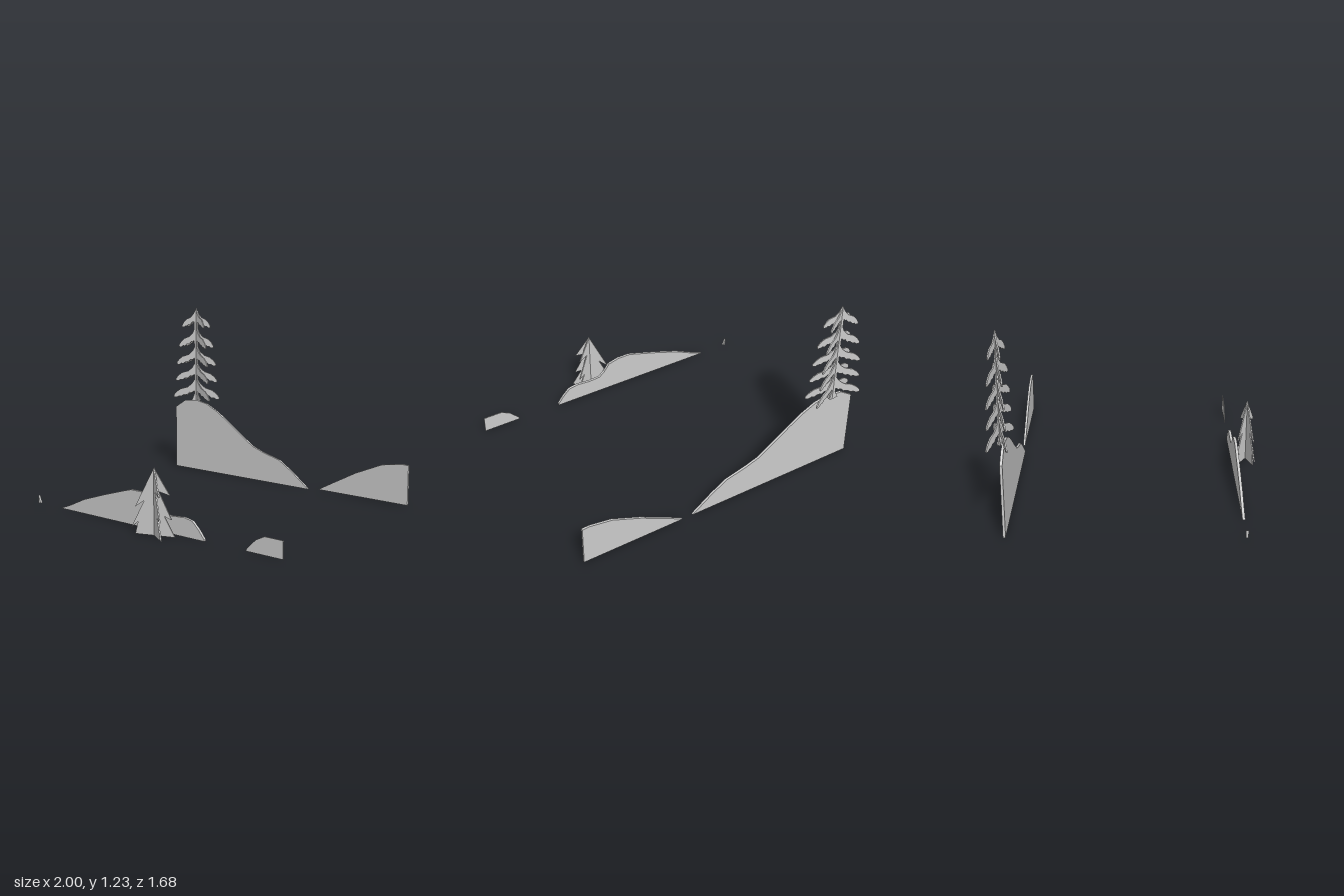
import * as THREE from 'three';

const material = new THREE.MeshStandardMaterial({ color: 0xcccccc, flatShading: true });

// Flat cut-out of an outline, thickness centred on z
function cutOut(name, points, thickness, z = 0) {
  const shape = new THREE.Shape(points.map(([x, y]) => new THREE.Vector2(x, y)));
  const geometry = new THREE.ExtrudeGeometry(shape, { depth: thickness, bevelEnabled: false });
  geometry.translate(0, 0, z - thickness / 2);
  const mesh = new THREE.Mesh(geometry, material);
  mesh.name = name;
  return mesh;
}

// Hill: a ridge line closed along a flat base
function hill(name, ridge, thickness, z, base = 0) {
  const first = ridge[0], last = ridge[ridge.length - 1];
  const points = [...ridge];
  if (last[1] > base) points.push([last[0], base]);
  if (first[1] > base) points.push([first[0], base]);
  return cutOut(name, points, thickness, z);
}

// Tree: the same cut-out crossed at two angles
function crossedTree(name, outline, angles, x, z) {
  const tree = new THREE.Group();
  tree.name = name;
  for (const angle of angles) {
    const panel = cutOut(name + 'Panel', outline, 0.008);
    panel.rotation.y = angle;
    tree.add(panel);
  }
  tree.position.set(x, 0, z);
  return tree;
}

// Drooping boughs, one [top, tip, half width] per tier, mirrored about the trunk
function boughOutline() {
  const tiers = [
    [1.225, 1.08, 0.113], [1.085, 0.93, 0.139], [0.945, 0.796, 0.159],
    [0.82, 0.672, 0.168], [0.7, 0.543, 0.186],
  ];
  // across as a share of the width, height as a share of the tier
  const bough = [
    [0.2, 0.7], [0.38, 0.53], [0.68, 0.43], [0.87, 0.27], [0.99, 0.1], [0.98, 0.01],
    [0.86, 0], [0.76, 0.07], [0.65, 0.06], [0.54, 0.16], [0.4, 0.16], [0.29, 0.28], [0.2, 0.27],
  ];
  const trunk = 0.015;
  const half = [];
  tiers.forEach(([top, tip, width], i) => {
    const h = top - tip;
    if (i > 0) half.push([trunk, tip + h * 0.9]);
    for (const [u, v] of bough) half.push([Math.max(trunk, u * width), tip + v * h]);
    half.push([trunk, tip + h * 0.36]);
  });
  half.push([0.017, 0.57], [0.036, 0.53], [0.012, 0.516]);
  const left = half.map(([x, y]) => [-x, y]).reverse();
  return [[0, 1.225], ...half, ...left];
}

export function createModel() {
  const model = new THREE.Group();
  model.name = 'woodlandScenery';

  // Back row of hills
  model.add(hill('backLargeHill', [
    [-1, 0.465], [-0.91, 0.523], [-0.8, 0.535], [-0.7, 0.515], [-0.6, 0.467], [-0.5, 0.402],
    [-0.4, 0.332], [-0.27, 0.247], [-0.18, 0.215], [-0.03, 0.175], [0.08, 0.105], [0.22, 0],
  ], 0.016, -0.758));
  model.add(hill('backSmallHill', [
    [0.3, 0.01], [0.4, 0.065], [0.6, 0.172], [0.8, 0.258], [0.95, 0.283], [1, 0.28],
  ], 0.015, -0.766, 0.01));

  // Front row of hills
  model.add(hill('frontDoubleHill', [
    [-0.78, 0], [-0.69, 0.035], [-0.56, 0.095], [-0.38, 0.155], [-0.2, 0.21], [-0.15, 0.224],
    [-0.06, 0.224], [0.02, 0.203], [0.06, 0.15], [0.1, 0.118], [0.18, 0.112], [0.28, 0.12],
    [0.345, 0.108], [0.395, 0.06], [0.435, 0.01], [0.435, 0],
  ], 0.018, 0.672));
  model.add(hill('frontLowHill', [
    [0.74, 0], [0.745, 0.015], [0.81, 0.08], [0.87, 0.11], [1, 0.11],
  ], 0.005, 0.674));
  model.add(hill('frontHillEnd', [[-1, 0.05], [-0.985, 0.012], [-0.98, 0]], 0.016, 0.67));

  // Tall tree on the large hill
  model.add(crossedTree('tallTree', boughOutline(), [-0.33, 0.33], -0.822, -0.78));

  // Short jagged tree before the front hills
  model.add(crossedTree('shortTree', [
    [0, 0.417], [0.102, 0.255], [0.03, 0.275], [0.113, 0.105], [0.065, 0.125], [0.133, 0],
    [-0.125, 0], [-0.105, 0.08], [-0.152, 0.035], [-0.065, 0.21], [-0.125, 0.168],
  ], [-0.55, 0.32], 0.12, 0.765));

  return model;
}
